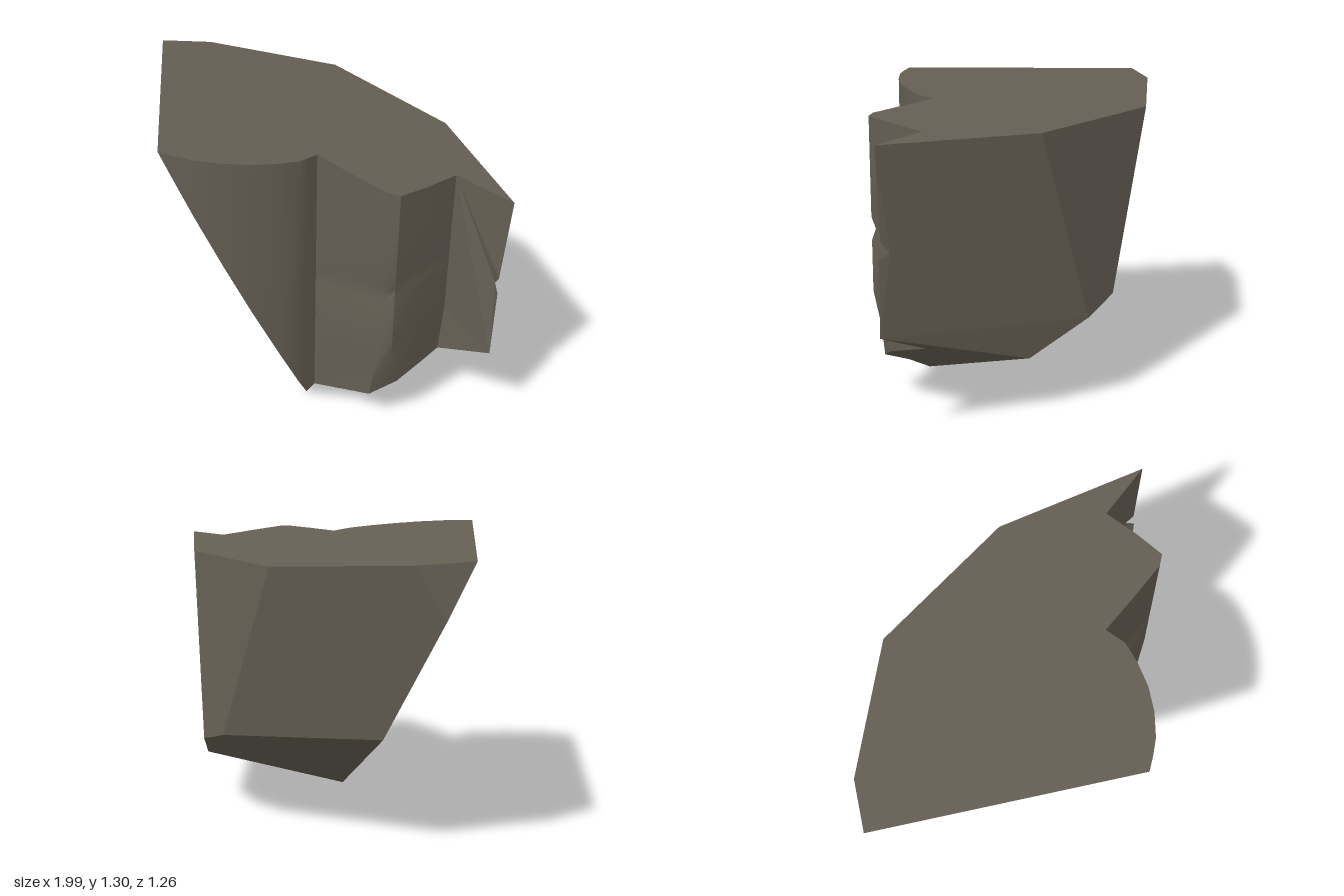
import * as THREE from 'three';
import { toCreasedNormals } from 'three/addons/utils/BufferGeometryUtils.js';

const V = (x, y, z) => new THREE.Vector3(x, y, z);
// Heights of the sloping top and the underside
const topY = (x, z) => 1.245 - 0.031 * x + 0.081 * z;
const footY = (x, z) => -0.068 + 0.46 * x - 0.27 * z;
// Height at which the slanted front face cuts a vertical line
const cutY = (x, z) => (z + 0.04 - 0.796 * x) / 0.595;
const onTop = ([x, z]) => V(x, topY(x, z), z);

// Flat polygon, corners anticlockwise seen from outside
function polygon(points) {
  const n = V(0, 0, 0);
  points.forEach((p, i) => n.add(p.clone().cross(points[(i + 1) % points.length])));
  n.normalize();
  const u = V(n.y, n.z, n.x).cross(n).normalize();
  const v = n.clone().cross(u);
  const flat = points.map(p => new THREE.Vector2(p.dot(u), p.dot(v)));
  const geo = new THREE.BufferGeometry().setFromPoints(points);
  geo.setIndex(THREE.ShapeUtils.triangulateShape(flat, []).flat());
  const out = geo.toNonIndexed();
  out.computeVertexNormals();
  return out;
}

// Wall through rows of points, bottom row first, each from left to right
function wall(rows, crease) {
  const w = rows[0].length, index = [];
  for (let r = 0; r < rows.length - 1; r++) {
    for (let c = 0; c < w - 1; c++) {
      const a = r * w + c, d = a + w;
      index.push(a, a + 1, d + 1, a, d + 1, d);
    }
  }
  const geo = new THREE.BufferGeometry().setFromPoints(rows.flat());
  geo.setIndex(index);
  geo.computeVertexNormals();
  return toCreasedNormals(geo, crease);
}

export function createModel() {
  const group = new THREE.Group();
  group.name = 'rockChunk';
  const stone = new THREE.MeshStandardMaterial({ color: 0x645e53 });
  stone.name = 'brown grey stone';
  const add = (name, geo) => {
    const mesh = new THREE.Mesh(geo, stone);
    mesh.name = name;
    group.add(mesh);
  };

  // Main corners of the rock
  const sideTip = onTop([-1, -0.08]), sideBack = onTop([-0.86, -0.26]);
  const backLeft = onTop([-0.33, -0.58]), backRight = onTop([0.38, -0.545]);
  const farTip = onTop([0.99, -0.235]);
  const sideLow = V(-0.94, 1.04, -0.17), belly = V(-0.65, 0.52, -0.25);
  const rearA = V(-0.02, 0.45, -0.635), rearB = V(0.16, 0.39, -0.635);
  const keel = V(0.387, 0.245, -0.5), point = V(0.26, 0, 0.17);
  const farLow = V(0.97, 0.435, -0.22);
  const notch = [V(0.97, 0.75, -0.225), V(0.935, 0.775, -0.25), V(0.965, 0.82, -0.23)];

  // Curved scoop, running down to the slanted face
  const scoop = [[-0.13, 0.63], [-0.065, 0.6], [0, 0.565], [0.085, 0.495], [0.16, 0.41],
    [0.22, 0.31], [0.26, 0.22], [0.26, 0.17], [0.26, 0.12]];
  const scoopTop = scoop.map(onTop);
  const scoopFoot = scoop.map(([x, z], i) =>
    i === 0 ? scoopTop[0].clone() : i === 7 ? point : i === 8 ? V(x, 0.02, z)
      : V(x, Math.min(cutY(x, z), topY(x, z)), z));
  add('scoopWall', wall([scoopFoot, scoopTop], 0.6));

  // Weathered column whose corner narrows near the foot
  const crown = [[0.26, 0.12], [0.45, 0.12], [0.64, 0.115], [0.69, 0.09], [0.705, -0.05], [0.71, -0.22]];
  const base = [[0.26, 0.12], [0.45, 0.12], [0.6, 0.12], [0.67, 0.02], [0.69, -0.12], [0.7, -0.21]];
  const rows = [0, 0.06, 0.13, 0.26, 0.48, 0.53, 0.58, 0.8, 1].map(f =>
    crown.map(([x, z], i) => {
      const k = Math.min(1, f / 0.26);
      const dent = f === 0.53 && i > 0 && i < 4 ? 0.012 : 0;
      const px = THREE.MathUtils.lerp(base[i][0], x, k) - (i === 3 ? dent : 0);
      const pz = THREE.MathUtils.lerp(base[i][1], z, k) - dent;
      const low = footY(...base[i]);
      return V(px, THREE.MathUtils.lerp(low, topY(px, pz), f), pz);
    }));
  add('columnWall', wall(rows, 0.75));
  const foot = rows[0], head = rows[rows.length - 1];

  // Flat broken faces
  add('topFace', polygon([sideTip, ...scoopTop, ...head.slice(1), farTip, backRight, backLeft, sideBack]));
  add('slantedFrontFace', polygon([sideTip, sideLow, belly, point, ...scoopFoot.slice(0, 7).reverse()]));
  add('sideChip', polygon([sideTip, sideBack, sideLow]));
  add('sideFace', polygon([backLeft, rearA, belly, sideLow, sideBack]));
  add('backFace', polygon([backRight, rearB, rearA, backLeft]));
  add('backSlantFace', polygon([farTip, ...[...notch].reverse(), farLow, keel, rearB, backRight]));
  add('undersideFace', polygon([keel, point, belly, rearA, rearB]));
  add('undersideSlope', polygon([keel, farLow, ...[...foot].reverse(), point]));
  add('recessedPanel', polygon([head[5], ...rows.slice(0, -1).reverse().map(r => r[5]), farLow, ...notch, farTip]));
  return group;
}
